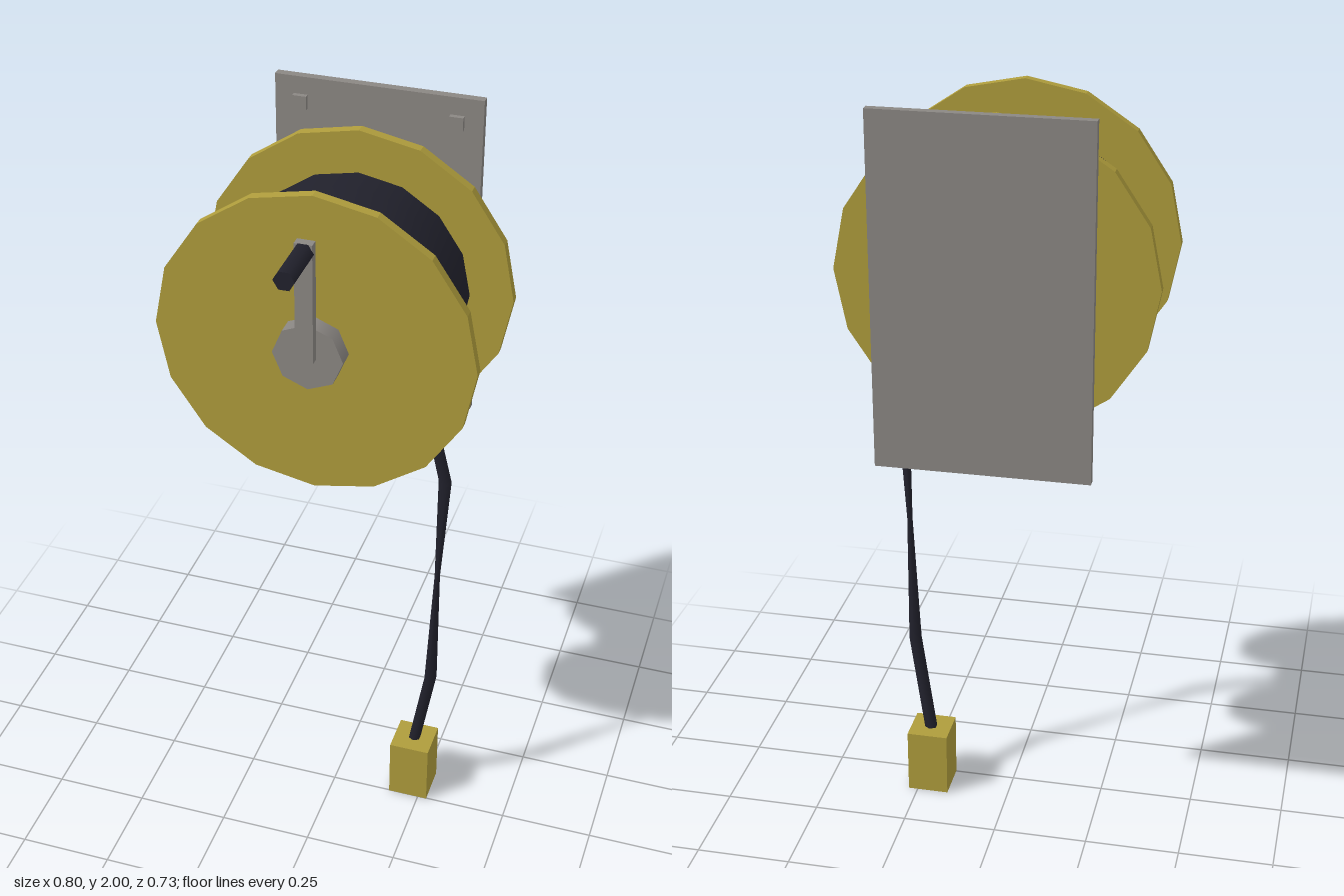
import * as THREE from 'three';

const material = (name, color) => {
  const m = new THREE.MeshStandardMaterial({ color });
  m.name = name;
  return m;
};

export function createModel() {
  const model = new THREE.Group();
  model.name = 'wallCordReel';
  const gold = material('gold', 0xae9c3c);
  const grey = material('grey', 0x8b8783);
  const dark = material('dark', 0x21212c);
  const axisY = 1.558;

  const add = (name, geometry, mat) => {
    const mesh = new THREE.Mesh(geometry, mat);
    mesh.name = name;
    model.add(mesh);
    return mesh;
  };
  // Box given by its limits on each axis
  const box = (name, mat, [x0, x1], [y0, y1], [z0, z1]) =>
    add(name, new THREE.BoxGeometry(x1 - x0, y1 - y0, z1 - z0), mat)
      .position.set((x0 + x1) / 2, (y0 + y1) / 2, (z0 + z1) / 2);
  // Prism along z with a corner on the +x side
  const rod = (name, mat, radius, sides, y, z0, z1, flat = false) => {
    let g = new THREE.CylinderGeometry(radius, radius, z1 - z0, sides, 1, false, Math.PI / 2);
    if (flat) {
      g = g.toNonIndexed();
      g.computeVertexNormals();
    }
    g.rotateX(Math.PI / 2);
    add(name, g, mat).position.set(0, y, (z0 + z1) / 2);
  };

  // Wall plate and its four bolts
  box('wallPlate', grey, [-0.266, 0.266], [1.116, 2], [-0.368, -0.346]);
  for (const x of [-0.2, 0.2])
    for (const y of [1.18, 1.936])
      box('bolt', grey, [x - 0.018, x + 0.018], [y - 0.018, y + 0.018], [-0.347, -0.333]);

  // Axle, flanges and hub
  rod('axle', grey, 0.044, 6, axisY, -0.347, -0.211);
  rod('backFlange', gold, 0.4, 16, axisY, -0.212, -0.186, true);
  rod('frontFlange', gold, 0.4, 16, axisY, 0.139, 0.165, true);
  rod('hub', grey, 0.088, 8, axisY, 0.164, 0.21);

  // Wound cord, bulging slightly in the middle
  const winding = [[0.289, -0.187], [0.296, -0.1], [0.3, -0.023], [0.296, 0.055], [0.289, 0.14]]
    .map(([r, z]) => new THREE.Vector2(r, z));
  const drum = new THREE.LatheGeometry(winding, 16, Math.PI / 2);
  drum.rotateX(Math.PI / 2);
  add('woundCord', drum, dark).position.y = axisY;

  // Crank
  box('crankArm', grey, [-0.022, 0.022], [axisY, 1.87], [0.209, 0.233]);
  rod('crankHandle', dark, 0.026, 6, 1.848, 0.232, 0.366);

  // Hanging cord: six-sided rings, pinched halfway by the twist
  const rings = [ // x, y, z, radius, twist
    [0.215, 1.4, -0.03, 0.015, 0],
    [0.29, 1.115, -0.01, 0.017, 0],
    [0.277, 0.8, -0.019, 0.007, 0.8],
    [0.268, 0.44, -0.024, 0.017, 1.6],
    [0.22, 0.17, -0.054, 0.017, 1.6],
  ];
  const sides = 6, positions = [], index = [];
  rings.forEach(([x, y, z, r, twist], i) => {
    for (let j = 0; j < sides; j++) {
      const a = (j / sides) * Math.PI * 2 + twist;
      positions.push(x + r * Math.cos(a), y, z + r * Math.sin(a));
      if (i === 0) continue;
      const k = (j + 1) % sides, top = (i - 1) * sides, low = i * sides;
      index.push(top + j, top + k, low + j, top + k, low + k, low + j);
    }
  });
  const cord = new THREE.BufferGeometry();
  cord.setAttribute('position', new THREE.Float32BufferAttribute(positions, 3));
  cord.setIndex(index);
  cord.computeVertexNormals();
  add('hangingCord', cord, dark);

  // Weight at the cord's end
  box('cordWeight', gold, [0.165, 0.275], [0, 0.178], [-0.107, 0.002]);

  return model;
}
